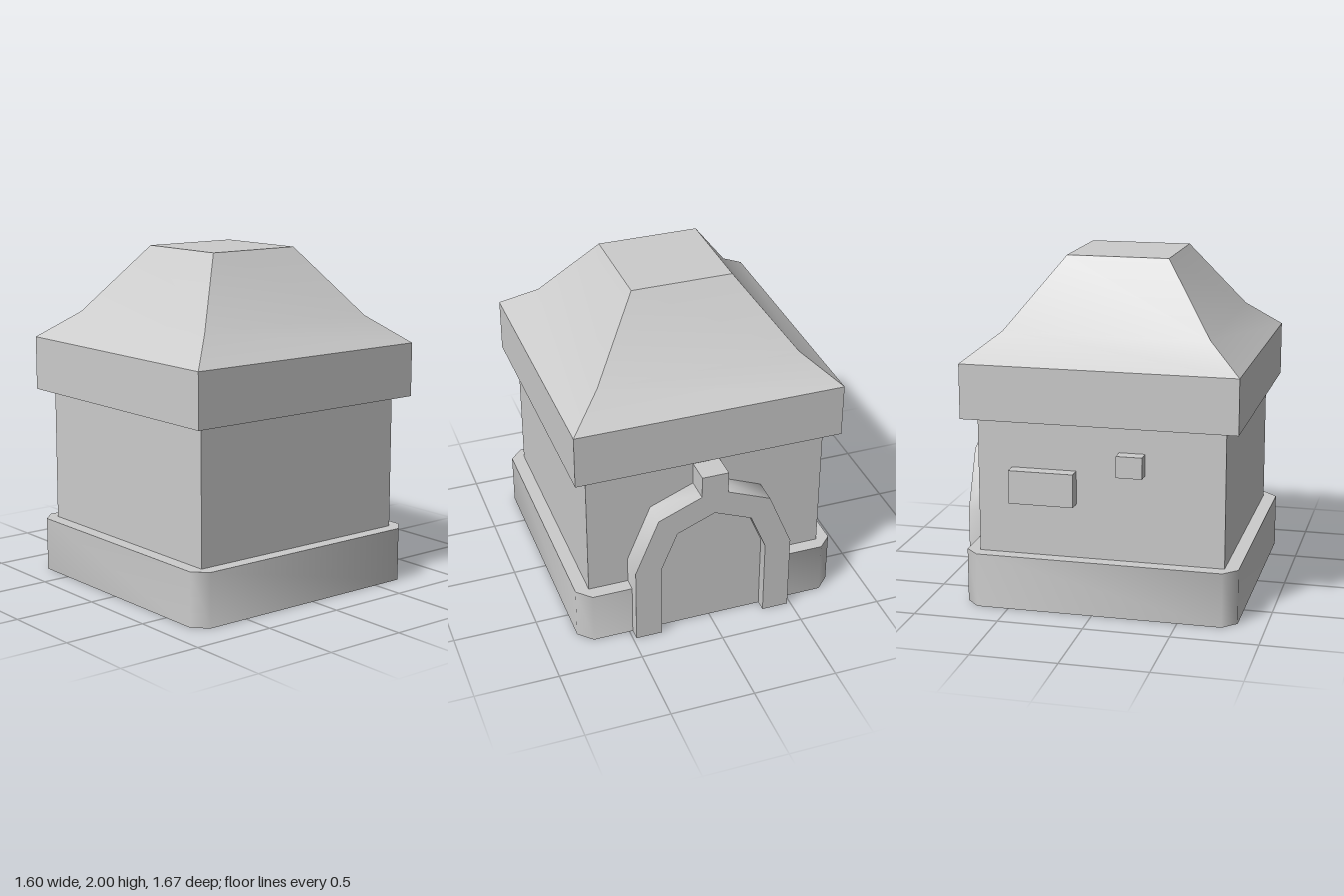
import * as THREE from 'three';
import { toCreasedNormals } from 'three/addons/utils/BufferGeometryUtils.js';

const material = new THREE.MeshStandardMaterial({ color: 0xcccccc });
const CREASE = 0.9; // smooths 45 degree bends, keeps right angles sharp

function addMesh(group, name, geometry) {
  const mesh = new THREE.Mesh(geometry, material);
  mesh.name = name;
  group.add(mesh);
  return mesh;
}

// Box given by its lower and upper corners
function addBox(group, name, [x0, y0, z0], [x1, y1, z1]) {
  const mesh = addMesh(group, name, new THREE.BoxGeometry(x1 - x0, y1 - y0, z1 - z0));
  mesh.position.set((x0 + x1) / 2, (y0 + y1) / 2, (z0 + z1) / 2);
}

function extrude(points, depth) {
  const shape = new THREE.Shape(points.map(([x, y]) => new THREE.Vector2(x, y)));
  return toCreasedNormals(new THREE.ExtrudeGeometry(shape, { depth, bevelEnabled: false }), CREASE);
}

// Door outline from right foot to left foot: straight legs under half an octagon
function archOutline(r, springY) {
  const points = [[r, 0]];
  for (let i = 0; i <= 4; i++) {
    const a = (i * Math.PI) / 4;
    points.push([r * Math.cos(a), springY + r * Math.sin(a)]);
  }
  points.push([-r, 0]);
  return points;
}

export function createModel() {
  const model = new THREE.Group();
  model.name = 'house';
  model.position.z = 0.035;

  // Plinth with chamfered corners
  const h = 0.8, c = 0.72;
  const plan = [[h, -c], [h, c], [c, h], [-c, h], [-h, c], [-h, -c], [-c, -h], [c, -h]];
  addMesh(model, 'plinth', extrude(plan, 0.32).rotateX(-Math.PI / 2));

  // Walls
  addBox(model, 'walls', [-0.72, 0.32, -0.72], [0.72, 1.12, 0.72]);

  // Roof: four-sided profile with eave band, flared skirt and flat top
  const profile = [[0, 1.12], [0.8, 1.12], [0.8, 1.44], [0.6, 1.6], [0.3, 2], [0, 2]]
    .map(([x, y]) => new THREE.Vector2(x * Math.SQRT2, y));
  const roof = new THREE.LatheGeometry(profile, 4, Math.PI / 4);
  addMesh(model, 'roof', toCreasedNormals(roof, 0.5));

  // Doorway on the back: frame, recessed door and keystone
  const frame = [...archOutline(0.48, 0.48), ...archOutline(0.32, 0.48).reverse()];
  addMesh(model, 'doorFrame', extrude(frame, 0.15)).position.z = -0.87;
  addMesh(model, 'door', extrude(archOutline(0.33, 0.48), 0.09)).position.z = -0.802;
  addBox(model, 'keystone', [-0.08, 0.88, -0.87], [0.08, 1.06, -0.72]);

  // Stone blocks on the side wall
  addBox(model, 'largeBlock', [-0.8, 0.64, -0.52], [-0.7, 0.835, -0.14]);
  addBox(model, 'smallBlock', [-0.8, 0.835, 0.11], [-0.7, 0.96, 0.26]);

  const root = new THREE.Group();
  root.add(model);
  return root;
}
